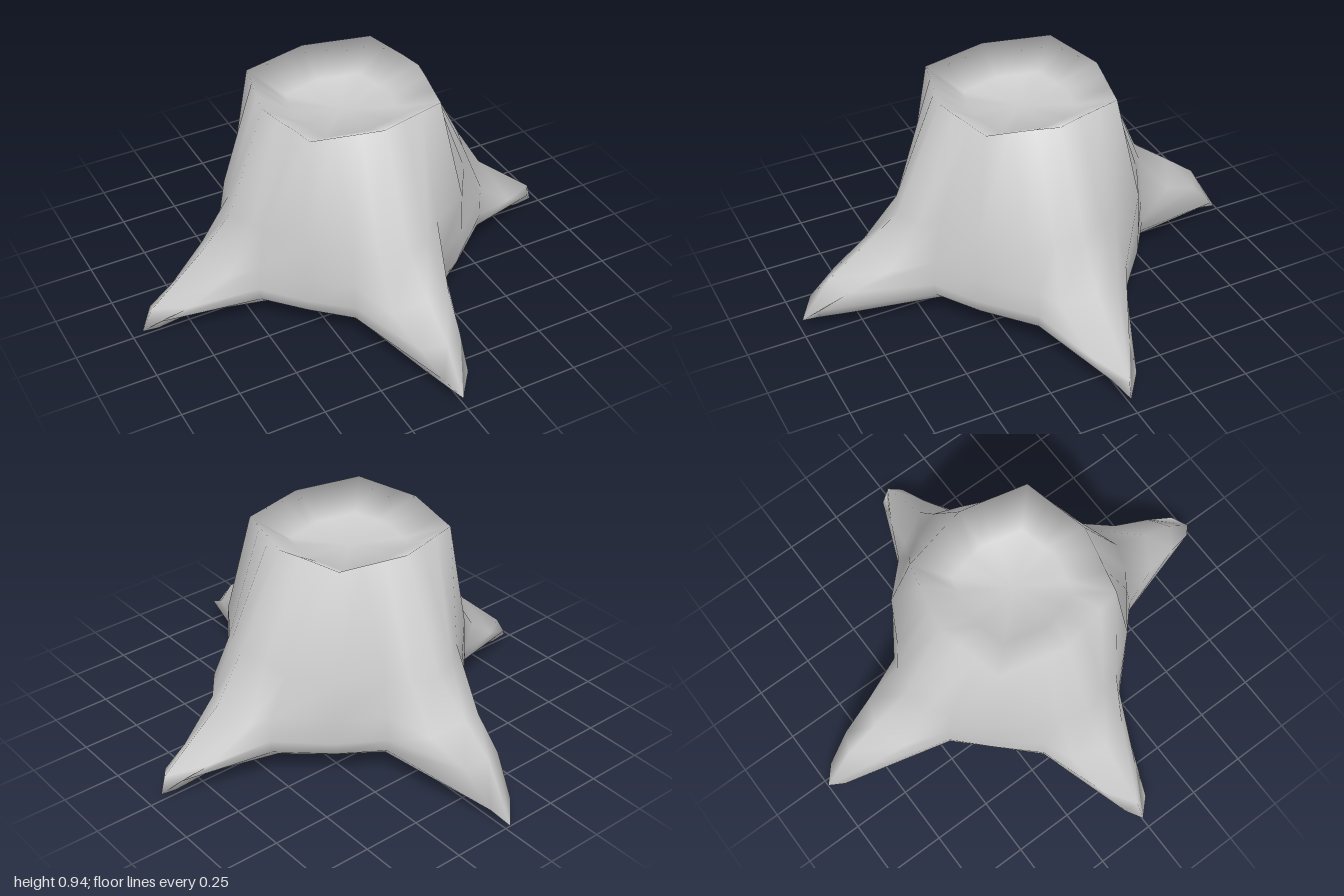
import * as THREE from 'three';
import { mergeVertices } from 'three/addons/utils/BufferGeometryUtils.js';

const CENTRE_X = -0.025;

// Skins a closed loop of columns; every column runs from top to bottom.
function loft(columns, name) {
  const n = columns.length, rows = columns[0].length;
  const index = [];
  for (let c = 0; c < n; c++) {
    const d = (c + 1) % n;
    for (let r = 0; r < rows - 1; r++) {
      const a = c * rows + r, b = d * rows + r;
      index.push(a, b, b + 1, a, b + 1, a + 1);
    }
  }
  let geometry = new THREE.BufferGeometry();
  geometry.setAttribute('position', new THREE.Float32BufferAttribute(columns.flat(2), 3));
  geometry.setIndex(index);
  geometry = mergeVertices(geometry, 1e-4);
  geometry.computeVertexNormals();
  const mesh = new THREE.Mesh(geometry, new THREE.MeshStandardMaterial({ color: 0xcccccc }));
  mesh.name = name;
  return mesh;
}

// Roots: ridge as [outward, height] from rim to tip, how far the trunk reaches
// out beside the root, and the size of the trunk corner that follows it.
const roots = [
  { ridge: [[0.355, 0.935], [0.56, 0.54], [0.68, 0.34], [0.955, 0.11], [0.975, 0.03]], reach: 0.08, corner: 1.01 }, // left
  { ridge: [[0.355, 0.94], [0.555, 0.475], [0.72, 0.35], [0.87, 0.24], [1.0, 0.07]], reach: 0, corner: 0.945 },     // front
  { ridge: [[0.355, 0.94], [0.515, 0.48], [0.655, 0.33], [0.885, 0.12], [0.935, 0.02]], reach: 0, corner: 0.945 },  // right
  { ridge: [[0.355, 0.94], [0.555, 0.475], [0.72, 0.35], [0.86, 0.24], [1.0, 0.0]], reach: 0, corner: 1.01 },       // back
];

// Trunk beside a root: [outward, sideways, height, share of the reach].
const crotch = [[0.31, 0.192, 0.94, 0], [0.455, 0.19, 0.5, 0.3], [0.48, 0.2, 0.33, 1], [0.49, 0.2, 0.22, 1],
  [0.48, 0.195, 0.16, 1], [0.43, 0.165, 0.11, 1], [0.34, 0.12, 0.08, 0.5], [0, 0, 0.07, 0]];

// Trunk corner halfway between two roots: [outward and sideways, height].
const diagonal = [[0.288, 0.94], [0.36, 0.5], [0.365, 0.32], [0.366, 0.21],
  [0.355, 0.15], [0.315, 0.105], [0.22, 0.08], [0, 0.07]];

function stumpColumns() {
  const columns = [];
  roots.forEach(({ ridge, reach, corner }, k) => {
    const angle = k * Math.PI / 2, cos = Math.cos(angle), sin = Math.sin(angle);
    const place = ([a, s, y]) => [a * cos - s * sin + CENTRE_X, y, a * sin + s * cos];
    const mirror = ([a, s, y]) => [a, -s, y];
    const [tipA, tipY] = ridge[4];

    const spine = [...ridge.map(([a, y]) => [a, 0, y]),
      [tipA - 0.07, 0, Math.max(0.01, tipY - 0.01)], [0.66, 0, 0.085], [0, 0, 0.07]];
    // Flank rounds the root off, a little lower and to the side of the ridge.
    const flank = [[0.333, 0.096, 0.94],
      [ridge[1][0] - 0.04, 0.11, ridge[1][1]],
      [ridge[2][0] - 0.06, 0.13, ridge[2][1] - 0.055],
      [tipA - 0.18, 0.09, (ridge[2][1] + ridge[3][1]) / 2 - 0.08],
      [tipA - 0.06, 0.055, tipY + 0.07],
      [tipA - 0.19, 0.065, 0.09], [0.62, 0.07, 0.095], [0, 0, 0.07]];
    const side = crotch.map(([a, s, y, share]) => [a + reach * share, s, y]);
    const between = diagonal.map(([d, y], row) => {
      const r = row ? d * corner : d; // the rim stays regular
      return [r, r, y];
    });

    columns.push(...[side.map(mirror), flank.map(mirror), spine, flank, side, between]
      .map((column) => column.map(place)));
  });

  // Hollow top, from its middle out to the rim
  return columns.map((column) => {
    const [x, , z] = column[0];
    const inset = (f, y) => [CENTRE_X + (x - CENTRE_X) * f, y, z * f];
    return [inset(0, 0.83), inset(0.6, 0.85), ...column];
  });
}

export function createModel() {
  const group = new THREE.Group();
  group.name = 'treeStump';
  // Hollow top, trunk, roots and underside in one skin
  group.add(loft(stumpColumns(), 'trunkWithRoots'));
  return group;
}
